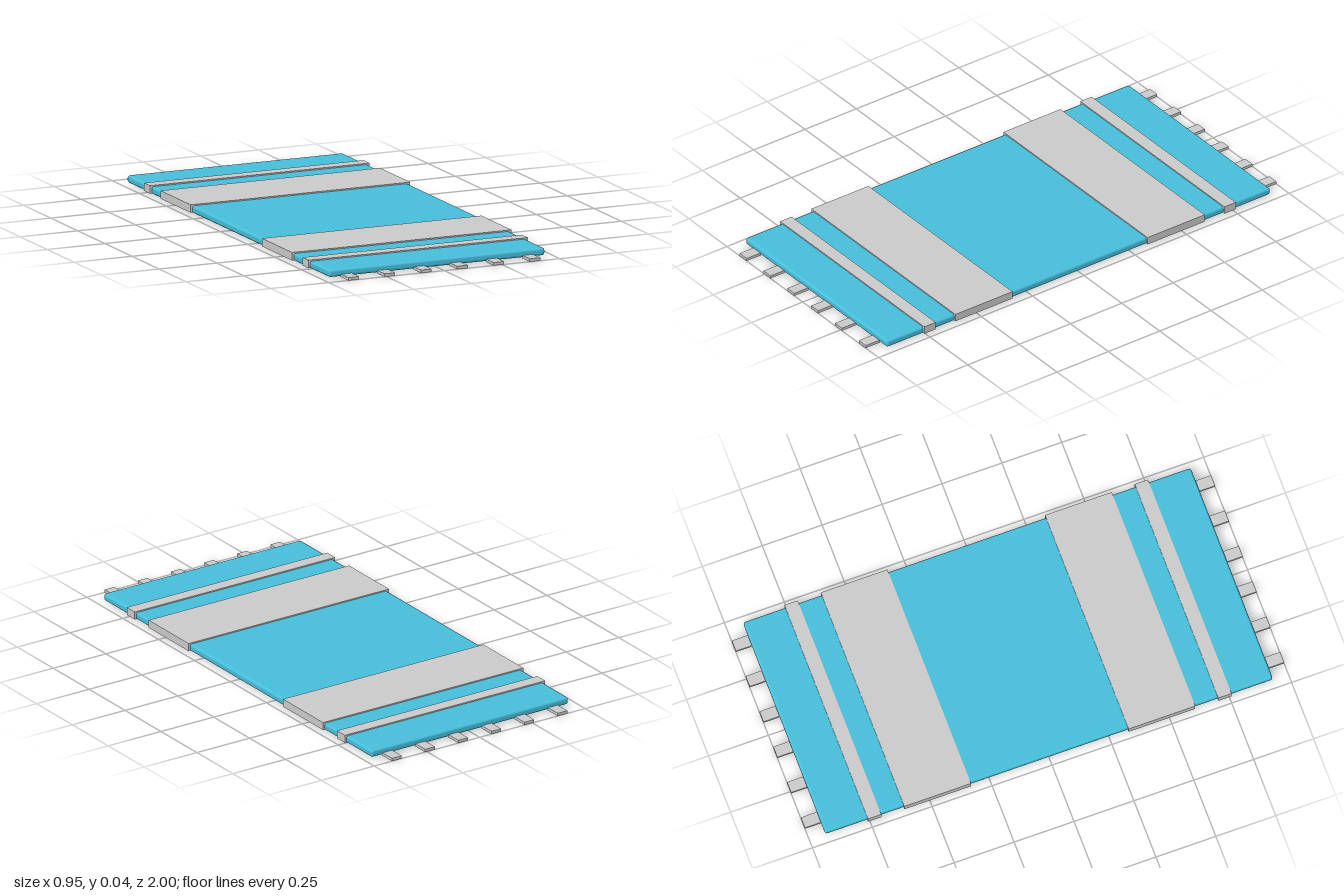
import * as THREE from 'three';
import { RoundedBoxGeometry } from 'three/addons/geometries/RoundedBoxGeometry.js';

export function createModel() {
  const model = new THREE.Group();
  model.name = 'rug';
  const blue = new THREE.MeshStandardMaterial({ color: 0x48c0dc });
  const grey = new THREE.MeshStandardMaterial({ color: 0xcccccc });

  const add = (name, geometry, material, x, y, z) => {
    const mesh = new THREE.Mesh(geometry, material);
    mesh.name = name;
    mesh.position.set(x, y, z);
    model.add(mesh);
  };

  // Woven body with softened edges
  add('rugBody', new RoundedBoxGeometry(0.934, 0.03, 1.868, 2, 0.01), blue, 0, 0.018, 0);

  const wideStripe = new THREE.BoxGeometry(0.95, 0.032, 0.278);
  const narrowStripe = new THREE.BoxGeometry(0.95, 0.032, 0.055);
  const tassel = new THREE.BoxGeometry(0.046, 0.012, 0.07);

  for (const [end, s] of [['front', 1], ['back', -1]]) {
    // Raised cross stripes
    add(end + 'WideStripe', wideStripe, grey, 0, 0.022, s * 0.468);
    add(end + 'NarrowStripe', narrowStripe, grey, 0, 0.022, s * 0.731);
    // Fringe along the short edge
    for (let i = 0; i < 6; i++) {
      add(end + 'Tassel' + (i + 1), tassel, grey, (i - 2.5) * 0.157, 0.006, s * 0.965);
    }
  }
  return model;
}
